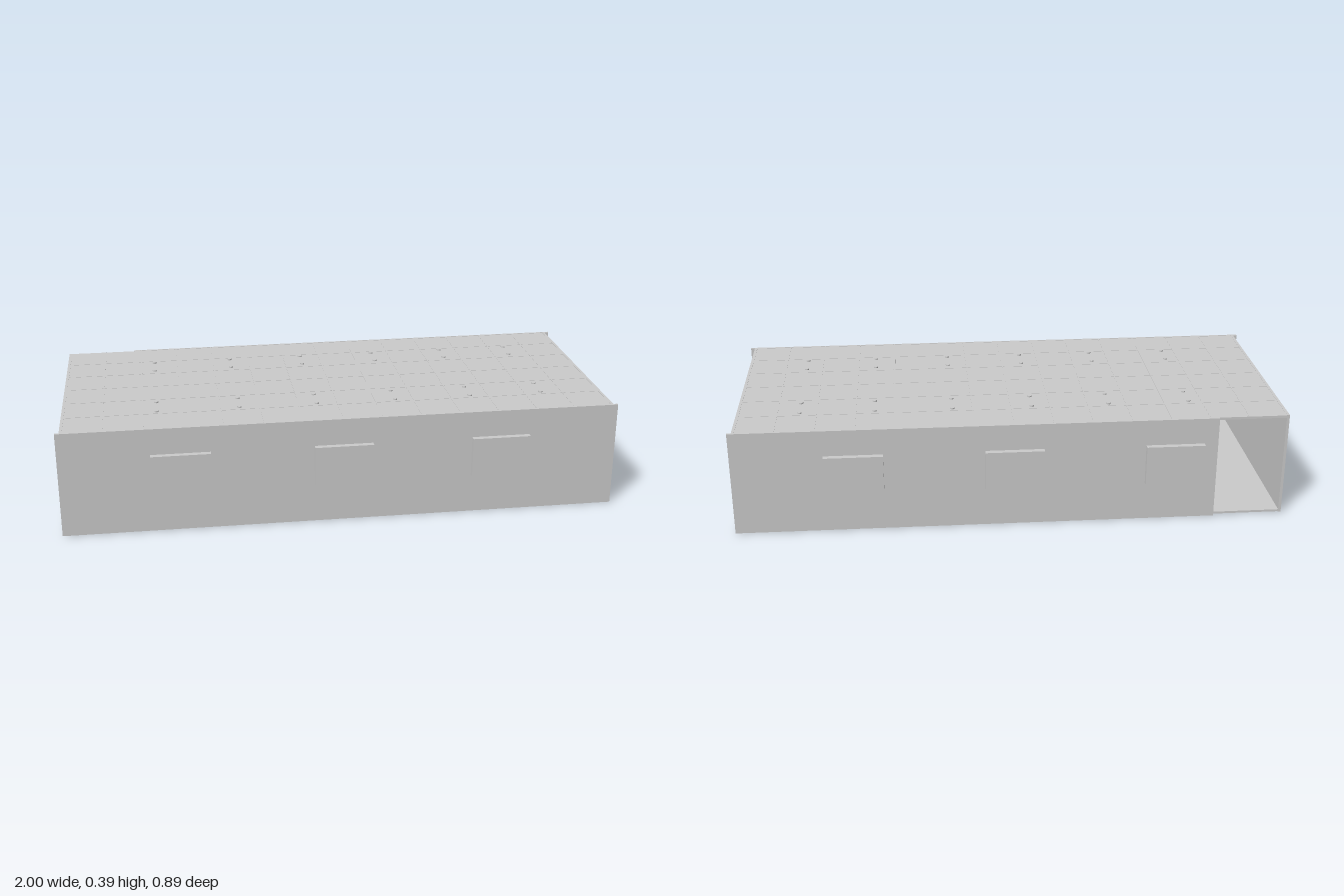
import * as THREE from 'three';

const material = new THREE.MeshStandardMaterial({ color: 0xcccccc, flatShading: true });

// Box given by its limits on each axis
function box(name, [x0, x1], [y0, y1], [z0, z1]) {
  const mesh = new THREE.Mesh(new THREE.BoxGeometry(x1 - x0, y1 - y0, z1 - z0), material);
  mesh.name = name;
  mesh.position.set((x0 + x1) / 2, (y0 + y1) / 2, (z0 + z1) / 2);
  return mesh;
}

export function createModel() {
  const group = new THREE.Group();
  group.name = 'room';
  const top = 0.388, endX = 0.985, inner = 0.418, outer = 0.427;

  // Floor and ceiling slabs
  group.add(box('floor', [-endX, endX], [0.002, 0.01], [-inner, inner]));
  group.add(box('ceiling', [-endX, endX], [top - 0.01, top - 0.001], [-inner, inner]));

  // Long walls run past the end walls; the back one stops short for a doorway
  group.add(box('frontWall', [-1, 1], [0, top], [inner, outer]));
  group.add(box('backWall', [-0.73, 1], [0, top], [-outer, -inner]));

  // End walls
  group.add(box('leftWall', [endX - 0.01, endX], [0, top], [-inner, inner]));
  group.add(box('rightWall', [-endX, -endX + 0.01], [0, top], [-inner, inner]));

  // Window boxes standing proud of both long walls
  for (const x of [-0.575, 0, 0.57]) {
    for (const s of [-1, 1]) {
      const z = s > 0 ? [0.405, 0.447] : [-0.447, -0.405];
      group.add(box('window', [x - 0.105, x + 0.105], [0.144, 0.292], z));
    }
  }

  // Ceiling tile grid, nearly flush with the roof
  const gridY = [top - 0.006, top];
  for (let i = -6; i <= 6; i++) {
    group.add(box('gridBar', [i * 0.14 - 0.002, i * 0.14 + 0.002], gridY, [-inner, inner]));
  }
  for (let j = -2; j <= 2; j++) {
    group.add(box('gridRail', [-endX, endX], gridY, [j * 0.14 - 0.002, j * 0.14 + 0.002]));
  }

  // Tips of the lamp hangers coming through the ceiling
  const tip = new THREE.CylinderGeometry(0.008, 0.008, 0.02, 10);
  for (const x of [-0.65, -0.355, -0.075, 0.213, 0.493, 0.76]) {
    for (const z of [-0.26, -0.17, 0.17, 0.26]) {
      const hanger = new THREE.Mesh(tip, material);
      hanger.name = 'lampHanger';
      hanger.position.set(x, 0.382, z);
      group.add(hanger);
    }
  }
  return group;
}
